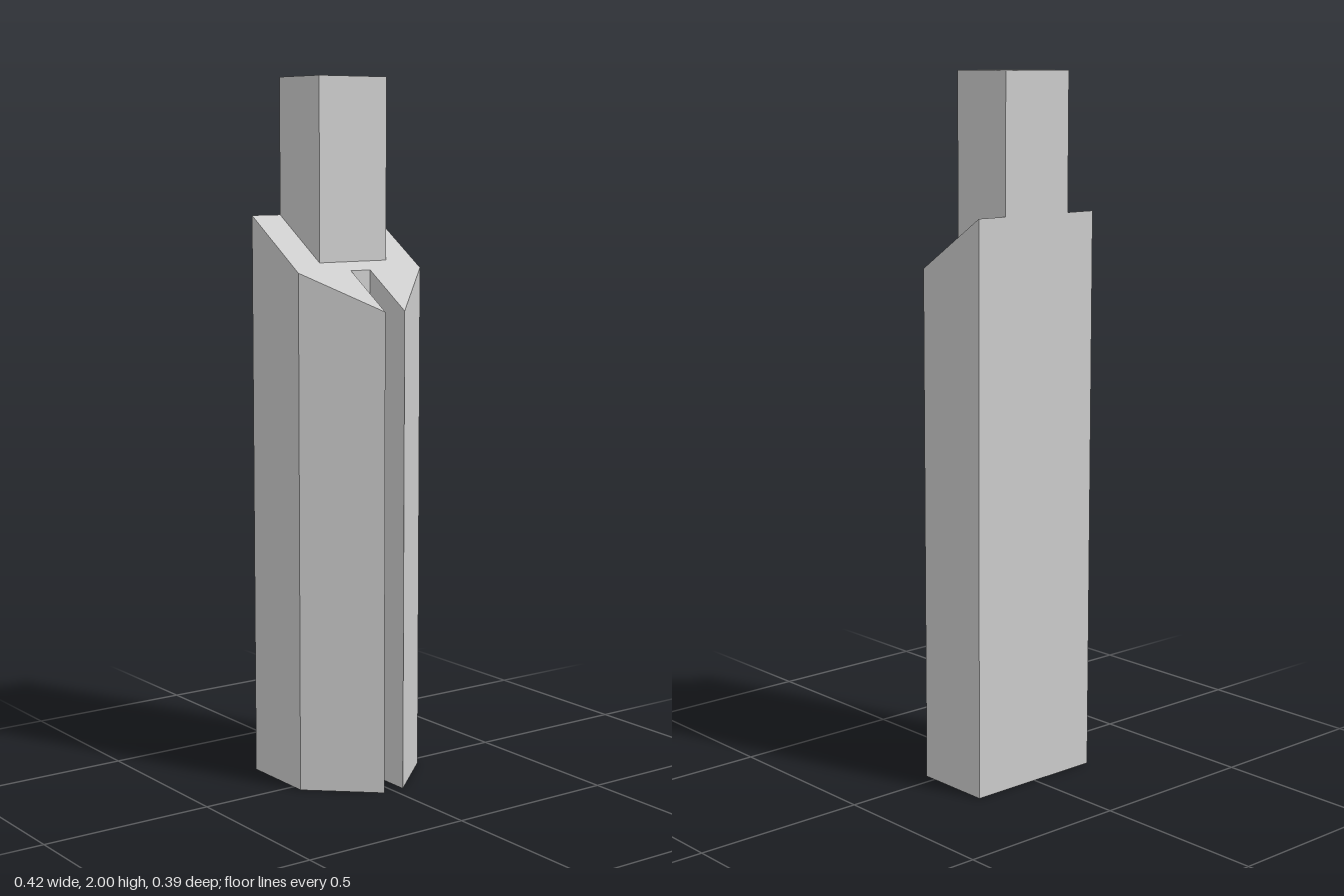
import * as THREE from 'three';

const BACK = -0.195, FRONT = 0.195;

// Height of the sloping shoulder at depth z
const slopeY = (z) => 1.488 - 0.652 * z;

// Vertical prism from a plan outline of [x, z] points
function prism(name, outline, material) {
  const shape = new THREE.Shape(outline.map(([x, z]) => new THREE.Vector2(x, -z)));
  const geometry = new THREE.ExtrudeGeometry(shape, { depth: 1, bevelEnabled: false });
  geometry.rotateX(-Math.PI / 2);
  const mesh = new THREE.Mesh(geometry, material);
  mesh.name = name;
  return mesh;
}

// Set the height of the bottom and top rims by rules of z
function setRims(mesh, bottom, top) {
  const p = mesh.geometry.attributes.position;
  for (let i = 0; i < p.count; i++) {
    p.setY(i, (p.getY(i) > 0.5 ? top : bottom)(p.getZ(i)));
  }
  mesh.geometry.computeVertexNormals();
}

export function createModel() {
  const group = new THREE.Group();
  group.name = 'slottedPost';
  const material = new THREE.MeshStandardMaterial({ color: 0xcccccc, flatShading: true });

  // Body: square back, tapered front split by a full-height slot
  const half = [[0.21, BACK], [0.21, 0.035], [0.033, FRONT], [0.033, 0.035]];
  const mirrored = half.map(([x, z]) => [-x, z]).reverse();
  const body = prism('slottedBody', [...half, ...mirrored], material);
  setRims(body, () => 0, slopeY);
  group.add(body);

  // Tenon: rectangular peg rising from the slope, flush with the back
  const tenon = prism('tenon', [[0.115, BACK], [0.115, 0], [-0.115, 0], [-0.115, BACK]], material);
  setRims(tenon, slopeY, () => 2);
  group.add(tenon);

  return group;
}
